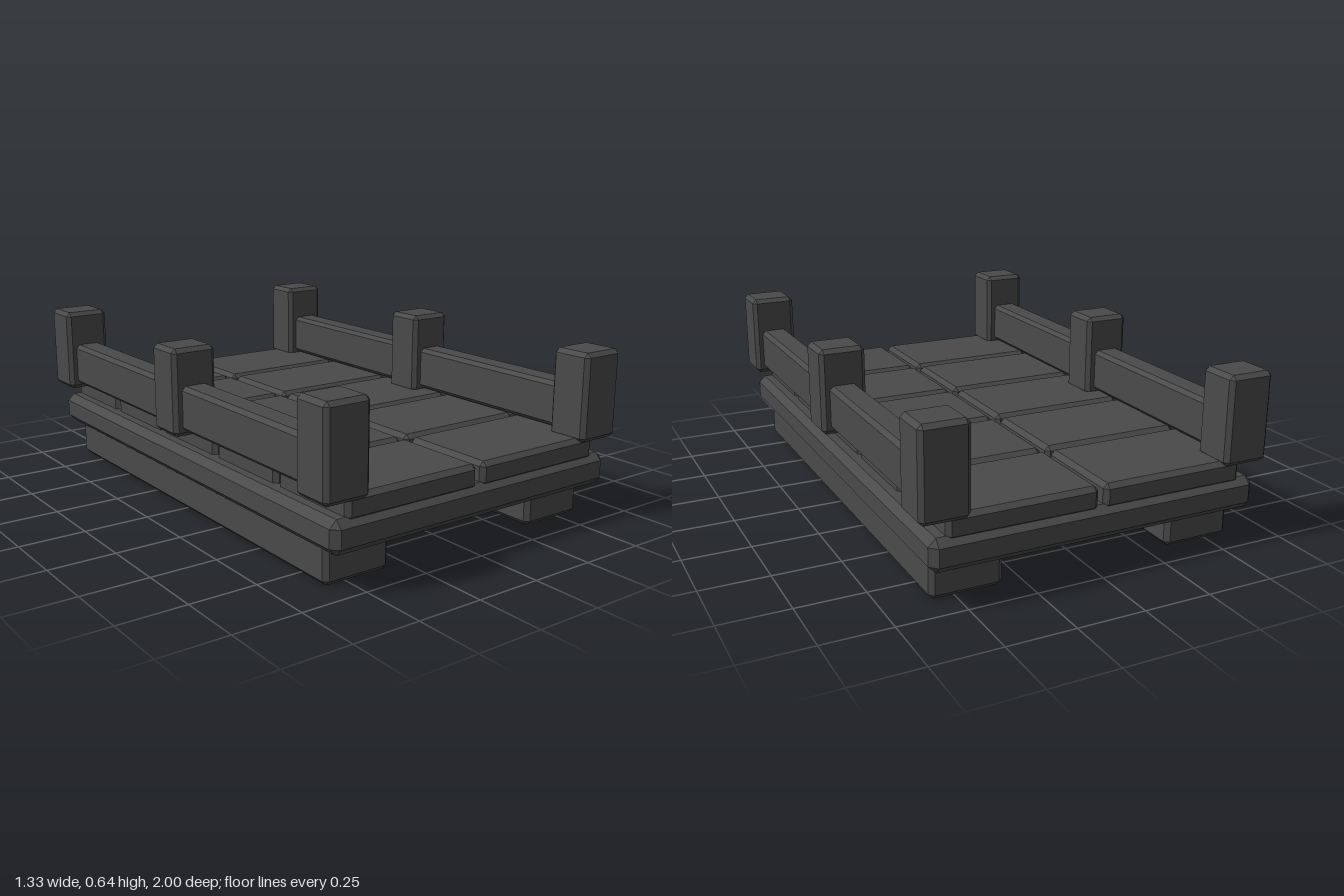
import * as THREE from 'three';
import { ConvexGeometry } from 'three/addons/geometries/ConvexGeometry.js';

// Box with every edge cut at 45 degrees by c
function chamferBox(w, h, d, c) {
  const points = [];
  for (const sx of [-1, 1]) for (const sy of [-1, 1]) for (const sz of [-1, 1]) {
    const x = w / 2, y = h / 2, z = d / 2;
    points.push(
      new THREE.Vector3(sx * x, sy * (y - c), sz * (z - c)),
      new THREE.Vector3(sx * (x - c), sy * y, sz * (z - c)),
      new THREE.Vector3(sx * (x - c), sy * (y - c), sz * z));
  }
  return new ConvexGeometry(points);
}

export function createModel() {
  const group = new THREE.Group();
  const darkGrey = new THREE.MeshStandardMaterial({ color: 0x4a4a4a });
  darkGrey.name = 'darkGrey';

  const add = (name, geometry, x, y, z) => {
    const mesh = new THREE.Mesh(geometry, darkGrey);
    mesh.name = name;
    mesh.position.set(x, y, z);
    group.add(mesh);
  };

  // Base slab
  add('base', chamferBox(1.25, 0.12, 1.99, 0.027), 0, 0.195, 0);

  const runner = chamferBox(0.265, 0.16, 1.8, 0.017);
  const tile = chamferBox(0.555, 0.09, 0.38, 0.017);
  const rail = chamferBox(0.11, 0.17, 1.9, 0.015);
  const post = chamferBox(0.178, 0.33, 0.163, 0.016);

  for (const [side, s] of [['left', 1], ['right', -1]]) {
    // Runner under the slab
    add(side + 'Runner', runner, s * 0.457, 0.08, 0);

    // Row of deck tiles
    for (let i = 0; i < 5; i++) add(side + 'Tile' + (i + 1), tile, s * 0.287, 0.28, (i - 2) * 0.395);

    // Side rail and its three posts
    add(side + 'Rail', rail, s * 0.575, 0.415, 0);
    for (const [end, z] of [['Back', -0.918], ['Middle', 0], ['Front', 0.918]]) {
      add(side + end + 'Post', post, s * 0.574, 0.475, z);
    }
  }
  return group;
}
